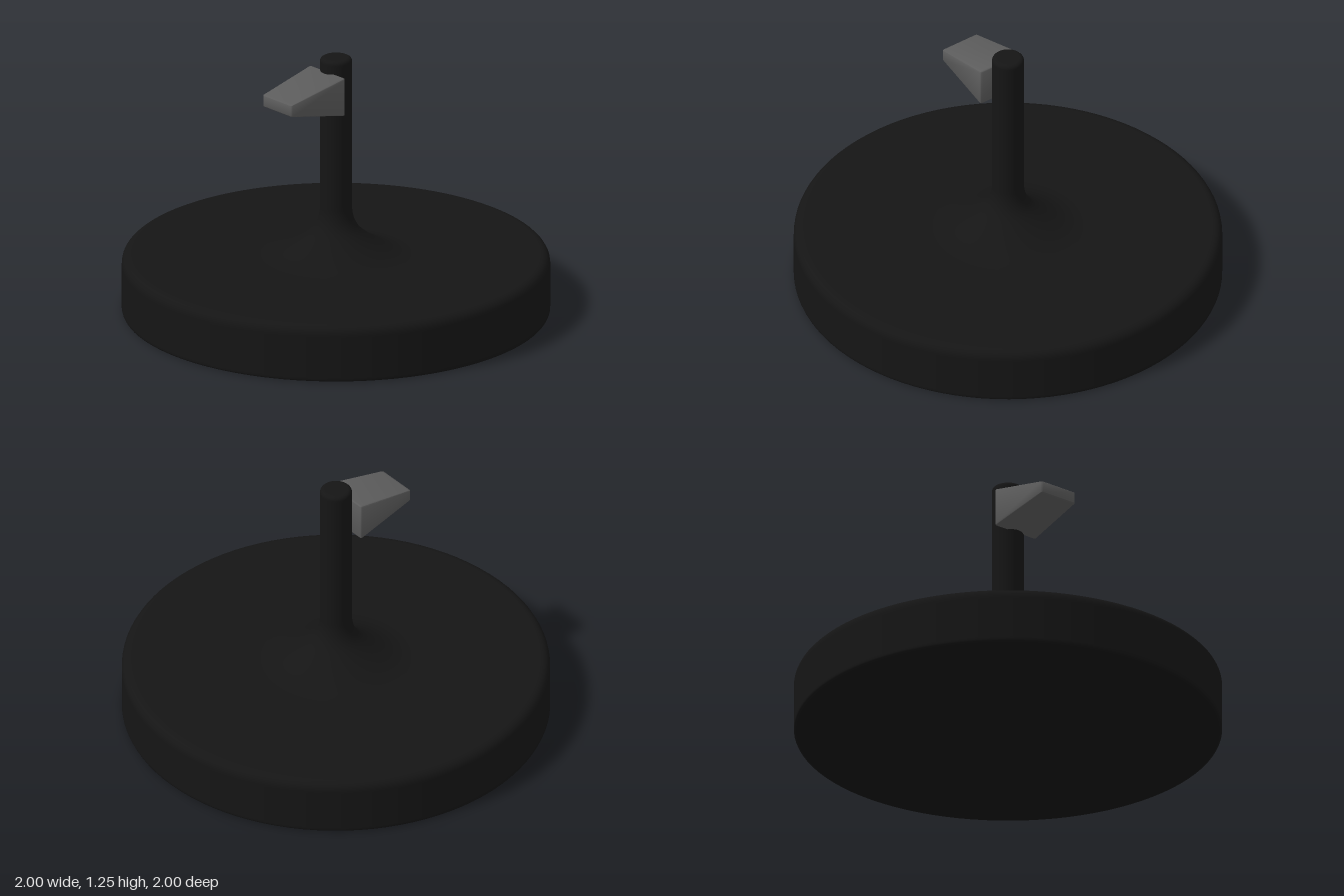
import * as THREE from 'three';
import { toCreasedNormals } from 'three/addons/utils/BufferGeometryUtils.js';
import { RoundedBoxGeometry } from 'three/addons/geometries/RoundedBoxGeometry.js';

const black = new THREE.MeshStandardMaterial({ color: 0x151515 });
const grey = new THREE.MeshStandardMaterial({ color: 0x5c5c5c });

const points = (list) => list.map(([x, y]) => new THREE.Vector2(x, y));

// Quarter-round corner from the side wall up onto the top
function roundTop(radius, top, r, steps = 5) {
  return Array.from({ length: steps + 1 }, (_, i) => {
    const a = (i / steps) * Math.PI / 2;
    return [radius - r + r * Math.cos(a), top - r + r * Math.sin(a)];
  });
}

function lathe(name, profile, segments) {
  const mesh = new THREE.Mesh(new THREE.LatheGeometry(points(profile), segments), black);
  mesh.name = name;
  return mesh;
}

// Wedge: a rounded box tapered towards -x
function createWedge() {
  const length = 0.32, height = 0.19, depth = 0.246;
  const box = new RoundedBoxGeometry(length, height, depth, 3, 0.01);
  const p = box.attributes.position;
  for (let i = 0; i < p.count; i++) {
    const t = 0.5 - p.getX(i) / length;
    p.setY(i, p.getY(i) * THREE.MathUtils.lerp(1, 0.3, t));
    p.setZ(i, p.getZ(i) * THREE.MathUtils.lerp(1, 0.82, t));
  }
  const mesh = new THREE.Mesh(toCreasedNormals(box, 0.6), grey);
  mesh.name = 'wedge';
  mesh.position.set(-0.21, 1.097, 0);
  return mesh;
}

export function createModel() {
  const group = new THREE.Group();
  group.name = 'stand';

  // Heavy round base with softened rims
  group.add(lathe('base', [
    [0, 0], [0.98, 0], [0.99, 0], [0.997, 0.003], [1, 0.01], [1, 0.02],
    [1, 0.22], ...roundTop(1, 0.275, 0.045), [0.94, 0.275], [0, 0.275],
  ], 96));

  // Post with a flared foot
  const flare = new THREE.SplineCurve(points([
    [0.36, 0.274], [0.31, 0.283], [0.25, 0.305], [0.18, 0.345],
    [0.12, 0.393], [0.09, 0.437], [0.077, 0.485], [0.075, 0.53],
  ])).getPoints(28).map((v) => [v.x, v.y]);
  group.add(lathe('post', [
    ...flare, [0.075, 1.22], ...roundTop(0.075, 1.252, 0.02), [0.05, 1.252], [0, 1.252],
  ], 48));

  group.add(createWedge());
  return group;
}
